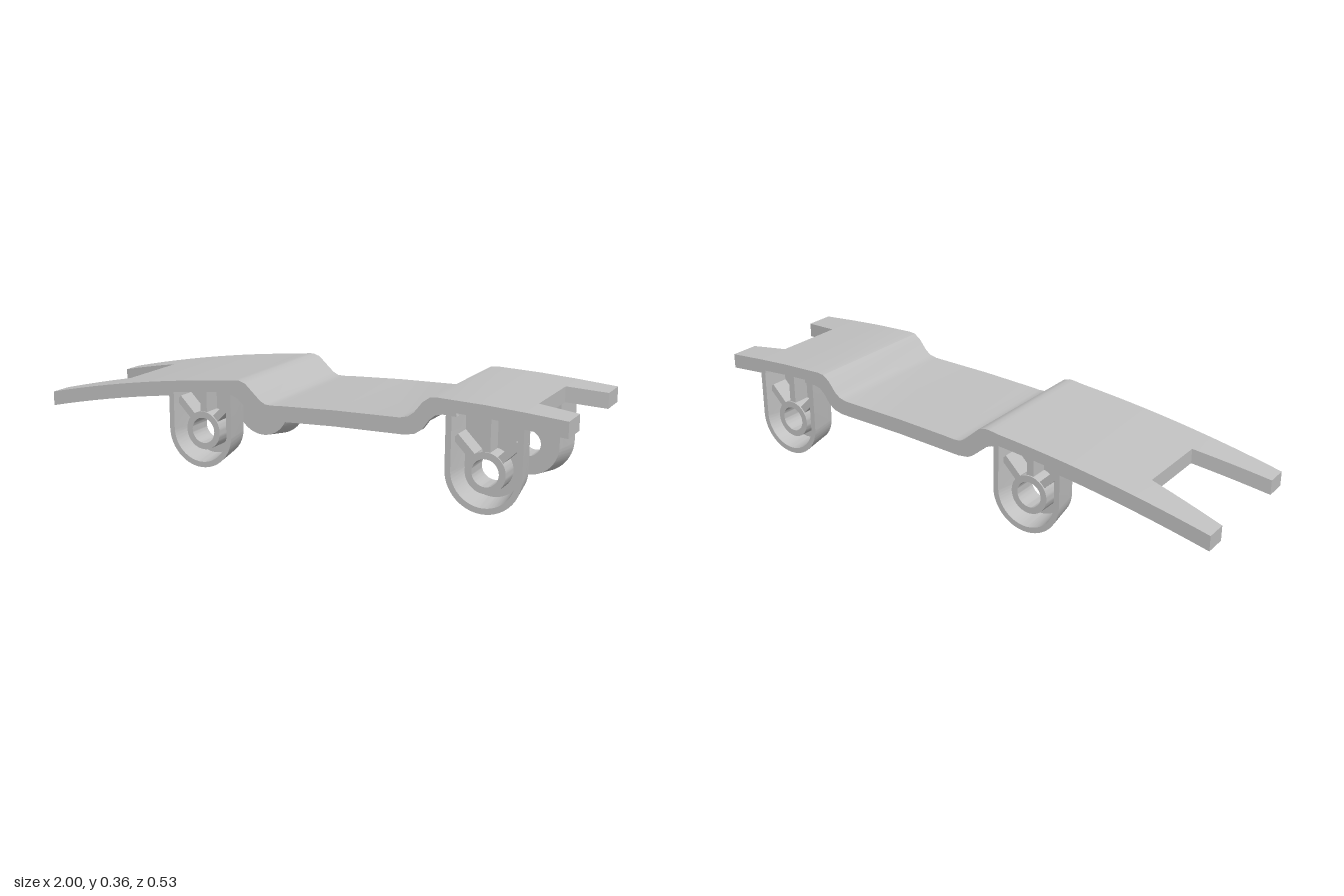
import * as THREE from 'three';
import { toCreasedNormals } from 'three/addons/utils/BufferGeometryUtils.js';

// Deck side profile: top x, top y, underside x, underside y
const profile = [];
for (let i = 0; i <= 12; i++) {
  const u = i * 0.0645, x = -1 + u, y = 0.2 + 0.2378 * u - 0.0945 * u * u;
  profile.push([x, y, x, y - 0.053]);
}
profile.push(
  [-0.19, 0.333, -0.21, 0.279], [-0.17, 0.334, -0.198, 0.278], [-0.145, 0.326, -0.178, 0.27],
  [-0.085, 0.272, -0.12, 0.222], [-0.065, 0.262, -0.1, 0.211], [-0.04, 0.261, -0.06, 0.206],
  [0, 0.264, 0, 0.209], [0.2, 0.274, 0.2, 0.219], [0.44, 0.28, 0.46, 0.225],
  [0.47, 0.287, 0.495, 0.233], [0.49, 0.302, 0.52, 0.25], [0.52, 0.34, 0.545, 0.285],
  [0.545, 0.358, 0.565, 0.302], [0.57, 0.361, 0.59, 0.308], [0.73, 0.356, 0.73, 0.303],
  [0.86, 0.348, 0.86, 0.294], [1, 0.337, 1, 0.283]);

const OUT = 0.265, IN = 0.155, RIM = 0.018, SKIN = 0.78;
const NOTCH_L = -0.73, NOTCH_R = 0.86;
const lerp = THREE.MathUtils.lerp;

function station(s) {
  let i = 0;
  while (i < profile.length - 2 && profile[i + 1][0] < s) i++;
  const a = profile[i], b = profile[i + 1], t = (s - a[0]) / (b[0] - a[0]);
  return a.map((v, k) => lerp(v, b[k], t));
}

// Half width of the end notches
function notch(x) {
  return x < 0 ? lerp(0.185, 0.14, (x + 1) / 0.27) : lerp(0.135, 0.157, (x - 0.86) / 0.14);
}

// Solid strip following the profile between depths f0 and f1
function slab(s0, s1, zA, zB, f0, f1) {
  const xs = [s0, ...profile.map(p => p[0]).filter(x => x > s0 + 1e-4 && x < s1 - 1e-4), s1];
  const pos = [], idx = [];
  for (const s of xs) {
    const [xt, yt, xb, yb] = station(s);
    const corner = (f, z) => { const x = lerp(xt, xb, f); pos.push(x, lerp(yt, yb, f), z(x)); };
    corner(f0, zA); corner(f0, zB); corner(f1, zB); corner(f1, zA);
  }
  for (let i = 0; i < xs.length - 1; i++) for (let k = 0; k < 4; k++) {
    const a = i * 4 + k, b = i * 4 + (k + 1) % 4;
    idx.push(a, b, b + 4, a, b + 4, a + 4);
  }
  const e = (xs.length - 1) * 4;
  idx.push(0, 2, 1, 0, 3, 2, e, e + 1, e + 2, e, e + 2, e + 3);
  const g = new THREE.BufferGeometry();
  g.setAttribute('position', new THREE.Float32BufferAttribute(pos, 3));
  g.setIndex(idx);
  return g;
}

// Mirror a geometry front to back, keeping faces outward
function mirrorZ(geo) {
  const g = geo.index ? geo.toNonIndexed() : geo.clone();
  const p = g.attributes.position, v = [0, 1, 2].map(() => new THREE.Vector3());
  for (let i = 0; i < p.count; i += 3) {
    v.forEach((q, k) => q.fromBufferAttribute(p, i + k));
    [0, 2, 1].forEach((from, k) => p.setXYZ(i + k, v[from].x, v[from].y, -v[from].z));
  }
  return g;
}

// U outline with a half-round bottom and a sloping top
function uPath(PathType, r, topL, topR) {
  const s = new PathType();
  s.moveTo(-r, topL);
  s.lineTo(-r, 0);
  s.absarc(0, 0, r, Math.PI, 2 * Math.PI, false);
  s.lineTo(r, topR);
  s.closePath();
  return s;
}

function extrude(shape, z0, z1) {
  const g = new THREE.ExtrudeGeometry(shape, { depth: z1 - z0, bevelEnabled: false, curveSegments: 32 });
  return g.translate(0, 0, z0);
}

// Draft: the bracket narrows towards the centre of the deck, bottom included
function draft(g, taperSides) {
  const p = g.attributes.position;
  for (let i = 0; i < p.count; i++) {
    const k = lerp(0.86, 1, (p.getZ(i) - IN) / (OUT - IN));
    if (taperSides && Math.hypot(p.getX(i), Math.min(0, p.getY(i))) < 0.08) continue;
    p.setX(i, p.getX(i) * k);
    if (p.getY(i) < 0) p.setY(i, p.getY(i) * k);
  }
  return g;
}

export function createModel() {
  const model = new THREE.Group();
  model.name = 'deckWithBrackets';
  const grey = new THREE.MeshStandardMaterial({ color: 0xbfbfbf });
  grey.name = 'light grey';
  const add = (parent, name, geo) => {
    const m = new THREE.Mesh(toCreasedNormals(geo, 0.5), grey);
    m.name = name;
    parent.add(m);
  };

  // Deck skin and the rim around its underside
  const deck = new THREE.Group();
  deck.name = 'deck';
  model.add(deck);
  const c = v => () => v;
  add(deck, 'deckSkin', slab(NOTCH_L, NOTCH_R, c(-OUT), c(OUT), 0, SKIN));
  add(deck, 'notchRimLeftEnd', slab(NOTCH_L, NOTCH_L + RIM, c(-0.145), c(0.145), SKIN, 1));
  add(deck, 'notchRimRightEnd', slab(NOTCH_R - RIM, NOTCH_R, c(-0.145), c(0.145), SKIN, 1));
  for (const side of [1, -1]) {
    const put = (name, s0, s1, zIn, zOut, f0, f1) => {
      const g = slab(s0, s1, zIn, zOut, f0, f1);
      add(deck, name, side > 0 ? g : mirrorZ(g));
    };
    for (const [a, b] of [[-1, NOTCH_L], [NOTCH_R, 1]]) {
      put('arm', a, b, notch, c(OUT), 0, SKIN);
      put('armInnerRim', a, b, notch, x => notch(x) + RIM, SKIN, 1);
    }
    put('armEndRim', -1, -1 + RIM, notch, c(OUT), SKIN, 1);
    put('armEndRim', 1 - RIM, 1, notch, c(OUT), SKIN, 1);
    // Outer rim stops at the bracket openings
    for (const [a, b] of [[-1, -0.445], [-0.225, 0.625], [0.838, 1]])
      put('sideRim', a, b, c(OUT - RIM), c(OUT), SKIN, 1);
  }

  // Wheel brackets: back plate, U wall, hub and three ribs
  const cy = 0.13, R = 0.13, HOLE = 0.046;
  for (const cx of [-0.335, 0.731]) {
    const top = x => { const s = station(cx + x); return lerp(s[1], s[3], 0.6) - cy; };
    const tl = top(-R), tr = top(R);
    const plate = uPath(THREE.Shape, R, tl, tr);
    plate.holes.push(new THREE.Path().absarc(0, 0, HOLE, 0, Math.PI * 2, true));
    const wall = new THREE.Shape();
    const w = R - 0.02;
    wall.moveTo(-R, tl);
    wall.lineTo(-R, 0);
    wall.absarc(0, 0, R, Math.PI, 2 * Math.PI, false);
    wall.lineTo(R, tr);
    wall.lineTo(w, tr);
    wall.lineTo(w, 0);
    wall.absarc(0, 0, w, 2 * Math.PI, Math.PI, true);
    wall.lineTo(-w, tl);
    const hub = new THREE.Shape().absarc(0, 0, 0.069, 0, Math.PI * 2, false);
    hub.holes.push(new THREE.Path().absarc(0, 0, HOLE, 0, Math.PI * 2, true));

    const parts = [
      ['bracketPlate', draft(extrude(plate, IN, IN + 0.02), true)],
      ['bracketWall', draft(extrude(wall, IN + 0.02, OUT), false)],
      ['bracketHub', extrude(hub, IN + 0.02, 0.245)],
    ];
    for (const [angle, end] of [[0, top(0)], [Math.PI / 4, 0.15], [-Math.PI / 4, 0.15]]) {
      const start = 0.062;
      const rib = new THREE.BoxGeometry(0.026, end - start, 0.065);
      rib.translate(0, (start + end) / 2, IN + 0.02 + 0.0325).rotateZ(angle);
      parts.push(['bracketRib', rib]);
    }
    for (const side of [1, -1]) {
      const bracket = new THREE.Group();
      bracket.name = (side > 0 ? 'front' : 'back') + (cx < 0 ? 'RightBracket' : 'LeftBracket');
      bracket.position.set(cx, cy, 0);
      for (const [name, geo] of parts) add(bracket, name, side > 0 ? geo : mirrorZ(geo));
      model.add(bracket);
    }
  }
  return model;
}
